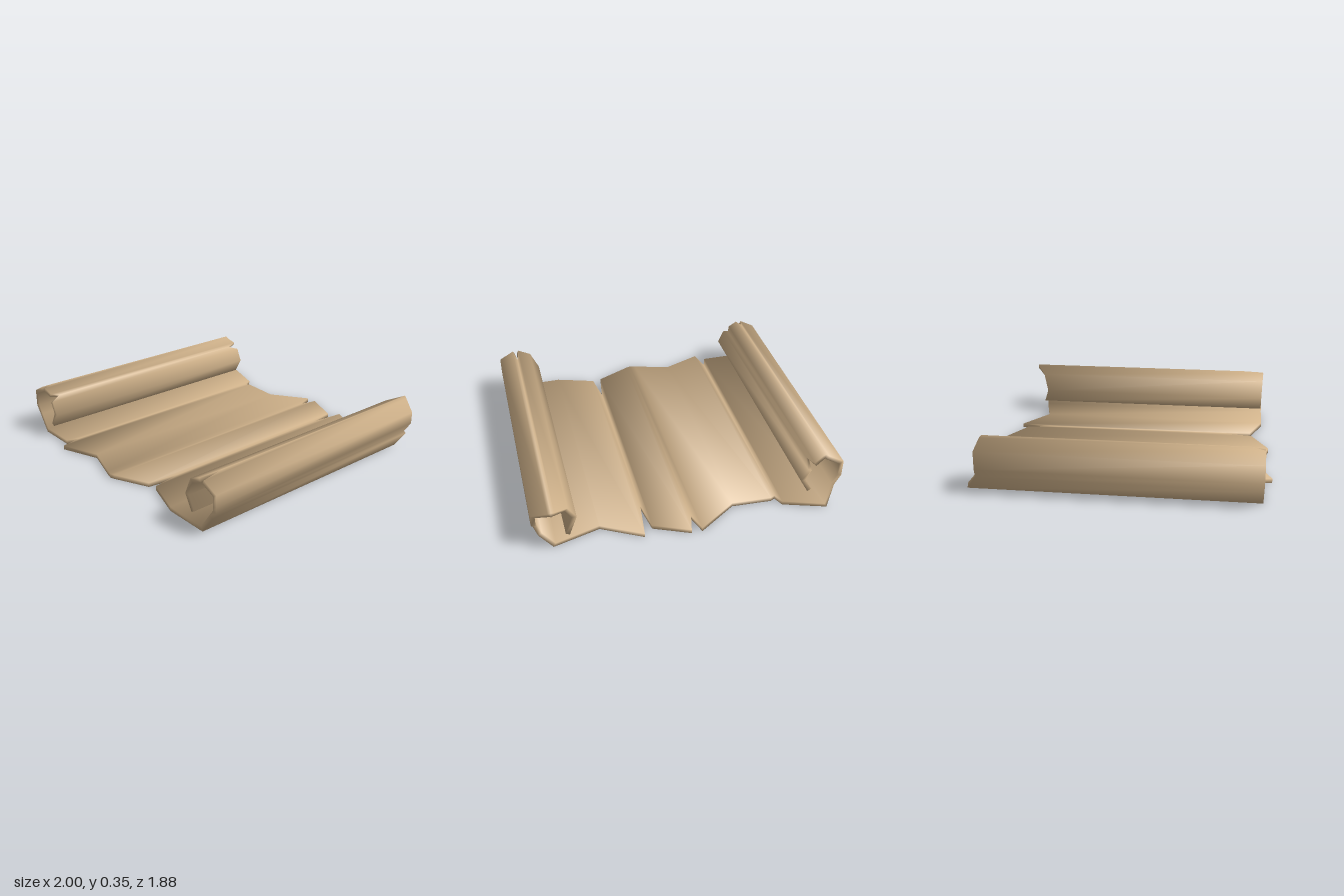
import * as THREE from 'three';

const THICKNESS = 0.028;

// Stations along the sheet's outer face: [x, y, front edge z, back edge z]
const LEFT_CURL = [
  [-0.775, 0.08, 0.88, -0.84], [-0.72, 0.18, 0.88, -0.84],
  [-0.76, 0.268, 0.88, -0.84], [-0.775, 0.3, 0.82, -0.76],
  [-0.8, 0.312, 0.87, -0.84], [-0.86, 0.34, 0.88, -0.82],
  [-0.88, 0.35, 0.81, -0.82], [-0.9, 0.339, 0.88, -0.83],
  [-1, 0.285, 0.88, -0.84], [-1, 0.17, 0.88, -0.84],
  [-0.955, 0.107, 0.88, -0.85],
];
const FLOOR = [
  [-0.88, 0, 0.88, -0.93], [-0.61, 0, 0.88, -0.84],
  [-0.58, 0, 0.8, -0.775], [-0.55, 0, 0.94, -0.79],
  [-0.29, 0, 0.84, -0.775], [-0.04, 0, 0.915, -0.94],
  [0, 0, 0.925, -0.82], [0.03, 0, 0.915, -0.94],
  [0.26, 0, 0.81, -0.84], [0.29, 0, 0.6, -0.65],
  [0.32, 0, 0.8, -0.9], [0.58, 0, 0.885, -0.76],
  [0.88, 0, 0.885, -0.84],
];
const RIGHT_CURL = [
  [0.965, 0.12, 0.885, -0.84], [1, 0.17, 0.885, -0.77],
  [1, 0.205, 0.885, -0.84], [1, 0.285, 0.885, -0.84],
  [0.9, 0.339, 0.89, -0.9], [0.88, 0.35, 0.74, -0.91],
  [0.86, 0.34, 0.89, -0.9], [0.775, 0.3, 0.885, -0.84],
  [0.72, 0.18, 0.88, -0.8], [0.775, 0.08, 0.88, -0.84],
];

// Left-hand unit normal of the segment from a to b
function segmentNormal(a, b) {
  return new THREE.Vector2(a[1] - b[1], b[0] - a[0]).normalize();
}

// Closed sheet: four corners per station, joined into a tube with capped ends
function sheetGeometry(stations) {
  const points = [];
  const index = [];
  const quad = (a, b, c, d) => index.push(a, b, c, a, c, d);
  const last = stations.length - 1;

  stations.forEach(([x, y, front, back], i) => {
    const before = segmentNormal(stations[Math.max(i - 1, 0)], stations[Math.max(i, 1)]);
    const after = segmentNormal(stations[Math.min(i, last - 1)], stations[Math.min(i + 1, last)]);
    const miter = before.clone().add(after).normalize();
    miter.multiplyScalar(THICKNESS / miter.dot(before));
    const ix = x + miter.x;
    const iy = y + miter.y;
    points.push(
      new THREE.Vector3(x, y, front), new THREE.Vector3(x, y, back),
      new THREE.Vector3(ix, iy, back), new THREE.Vector3(ix, iy, front),
    );
    if (i === last) return;
    for (let k = 0; k < 4; k++) {
      const n = (k + 1) % 4;
      quad(i * 4 + k, i * 4 + n, i * 4 + 4 + n, i * 4 + 4 + k);
    }
  });
  quad(0, 3, 2, 1);
  quad(last * 4, last * 4 + 1, last * 4 + 2, last * 4 + 3);

  // Smooth normals weighted by corner angle, so the torn rims look softly worn
  const normals = points.map(() => new THREE.Vector3());
  for (let t = 0; t < index.length; t += 3) {
    const tri = index.slice(t, t + 3);
    const [a, b, c] = tri.map((v) => points[v]);
    const face = new THREE.Triangle(a, b, c).getNormal(new THREE.Vector3());
    tri.forEach((v, k) => {
      const toNext = points[tri[(k + 1) % 3]].clone().sub(points[v]);
      const toPrev = points[tri[(k + 2) % 3]].clone().sub(points[v]);
      normals[v].addScaledVector(face, toNext.angleTo(toPrev));
    });
  }

  const geometry = new THREE.BufferGeometry().setFromPoints(points);
  const normalData = normals.flatMap((n) => n.normalize().toArray());
  geometry.setAttribute('normal', new THREE.Float32BufferAttribute(normalData, 3));
  geometry.setIndex(index);
  return geometry;
}

export function createModel() {
  const group = new THREE.Group();
  group.name = 'scroll';

  const parchment = new THREE.MeshStandardMaterial({ color: 0xd2b48c });
  parchment.name = 'parchment';

  // One continuous torn sheet, rolled inward along both sides
  const sheet = new THREE.Mesh(sheetGeometry([...LEFT_CURL, ...FLOOR, ...RIGHT_CURL]), parchment);
  sheet.name = 'parchmentSheet';
  group.add(sheet);
  return group;
}
